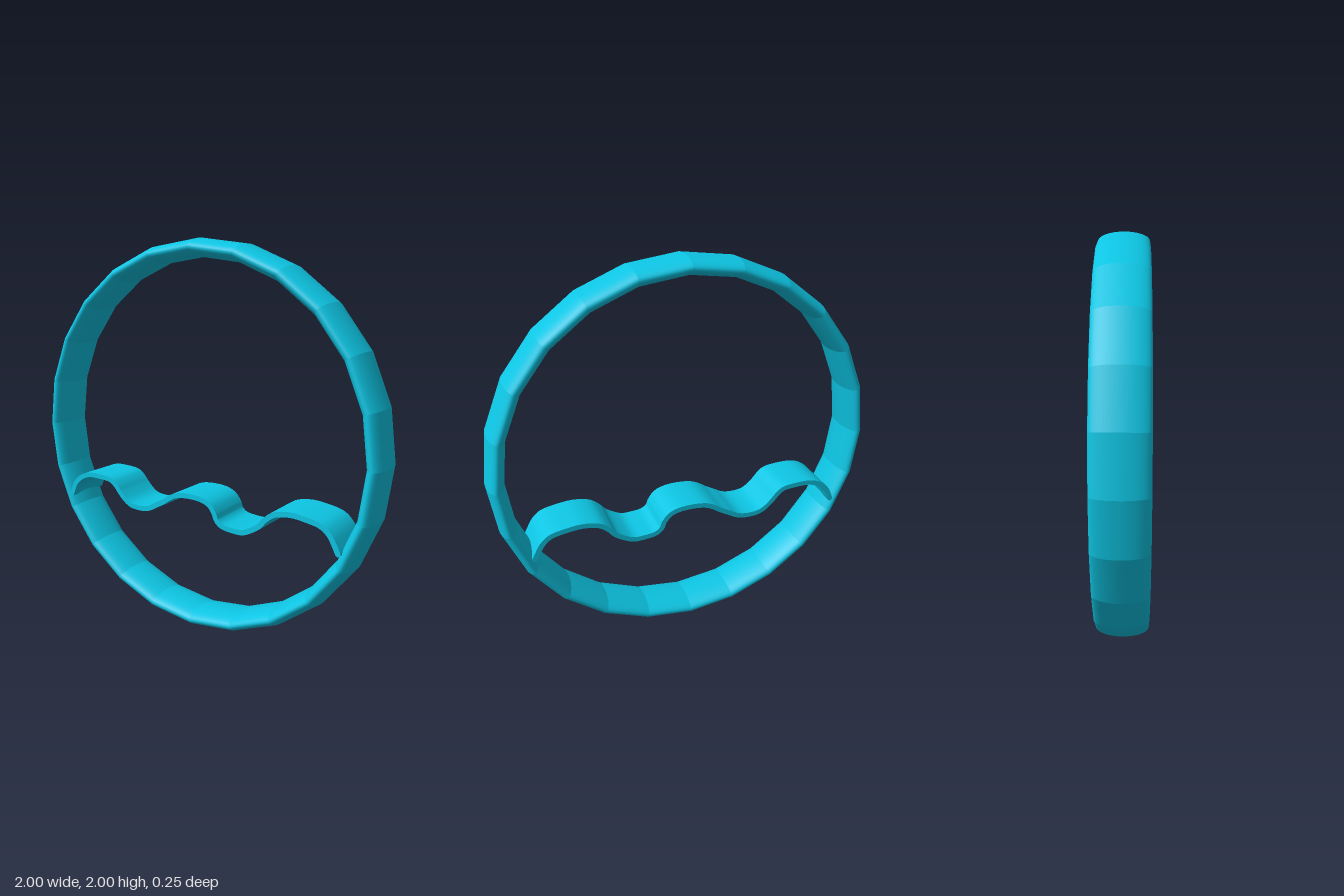
import * as THREE from 'three';
import { mergeGeometries, toCreasedNormals } from 'three/addons/utils/BufferGeometryUtils.js';

const SIDES = 24, RING_R = 0.955, TUBE_R = 0.045, HALF_DEPTH = 0.125;
const BAND_HALF = 0.0135, BAND_DEPTH = 0.24;

// Ring of straight, mitred lengths with an elliptical section
function ringGeometry() {
  const half = Math.PI / SIDES;
  const apothem = RING_R * Math.cos(half);
  const parts = [];
  for (let i = 0; i < SIDES; i++) {
    const g = new THREE.CylinderGeometry(1, 1, 2, 40, 1, true);
    g.scale(TUBE_R * Math.cos(half), 1, HALF_DEPTH);
    const p = g.attributes.position;
    for (let k = 0; k < p.count; k++) {
      const x = p.getX(k) + apothem;
      p.setXY(k, x, Math.sign(p.getY(k)) * x * Math.tan(half));
    }
    g.rotateZ((2 * i + 1) * half);
    parts.push(g);
  }
  return mergeGeometries(parts);
}

// Wavy band: a curve thickened to both sides, with rounded ends, then extruded
function bandGeometry() {
  const path = [
    [-0.83, 0.60], [-0.80, 0.665], [-0.75, 0.71], [-0.69, 0.732], [-0.615, 0.735], [-0.535, 0.727],
    [-0.495, 0.70], [-0.465, 0.665], [-0.42, 0.625], [-0.375, 0.607], [-0.31, 0.605], [-0.26, 0.617],
    [-0.21, 0.645], [-0.165, 0.67], [-0.12, 0.70], [-0.07, 0.72], [0, 0.727], [0.07, 0.722],
    [0.12, 0.702], [0.15, 0.665], [0.165, 0.63], [0.20, 0.605], [0.26, 0.597], [0.315, 0.598],
    [0.365, 0.62], [0.41, 0.65], [0.44, 0.685], [0.49, 0.722], [0.57, 0.738], [0.65, 0.732],
    [0.73, 0.715], [0.775, 0.68], [0.805, 0.63], [0.82, 0.60],
  ].map(([x, y]) => new THREE.Vector2(x, y));
  const curve = new THREE.SplineCurve(path);
  const n = 140, upper = [], lower = [];
  const offset = (t, angle) => {
    const c = curve.getPoint(t), d = curve.getTangent(t);
    const a = Math.atan2(d.y, d.x) + angle;
    return new THREE.Vector2(c.x + BAND_HALF * Math.cos(a), c.y + BAND_HALF * Math.sin(a));
  };
  for (let i = 0; i <= n; i++) {
    lower.push(offset(i / n, -Math.PI / 2));
    upper.unshift(offset(i / n, Math.PI / 2));
  }
  const cap = (t, start) => [1, 2, 3, 4, 5].map((k) => offset(t, start + (k * Math.PI) / 6));
  const outline = [...lower, ...cap(1, -Math.PI / 2), ...upper, ...cap(0, Math.PI / 2)];
  const g = new THREE.ExtrudeGeometry(new THREE.Shape(outline), { depth: BAND_DEPTH, bevelEnabled: false });
  g.translate(0, 0, -BAND_DEPTH / 2);
  return toCreasedNormals(g, 0.7);
}

export function createModel() {
  const group = new THREE.Group();
  const material = new THREE.MeshStandardMaterial({ color: 0x0dc5e3, side: THREE.DoubleSide });

  const ring = new THREE.Mesh(ringGeometry(), material);
  ring.name = 'ring';
  ring.position.y = 1;

  const band = new THREE.Mesh(bandGeometry(), material);
  band.name = 'wavyBand';

  group.add(ring, band);
  return group;
}
